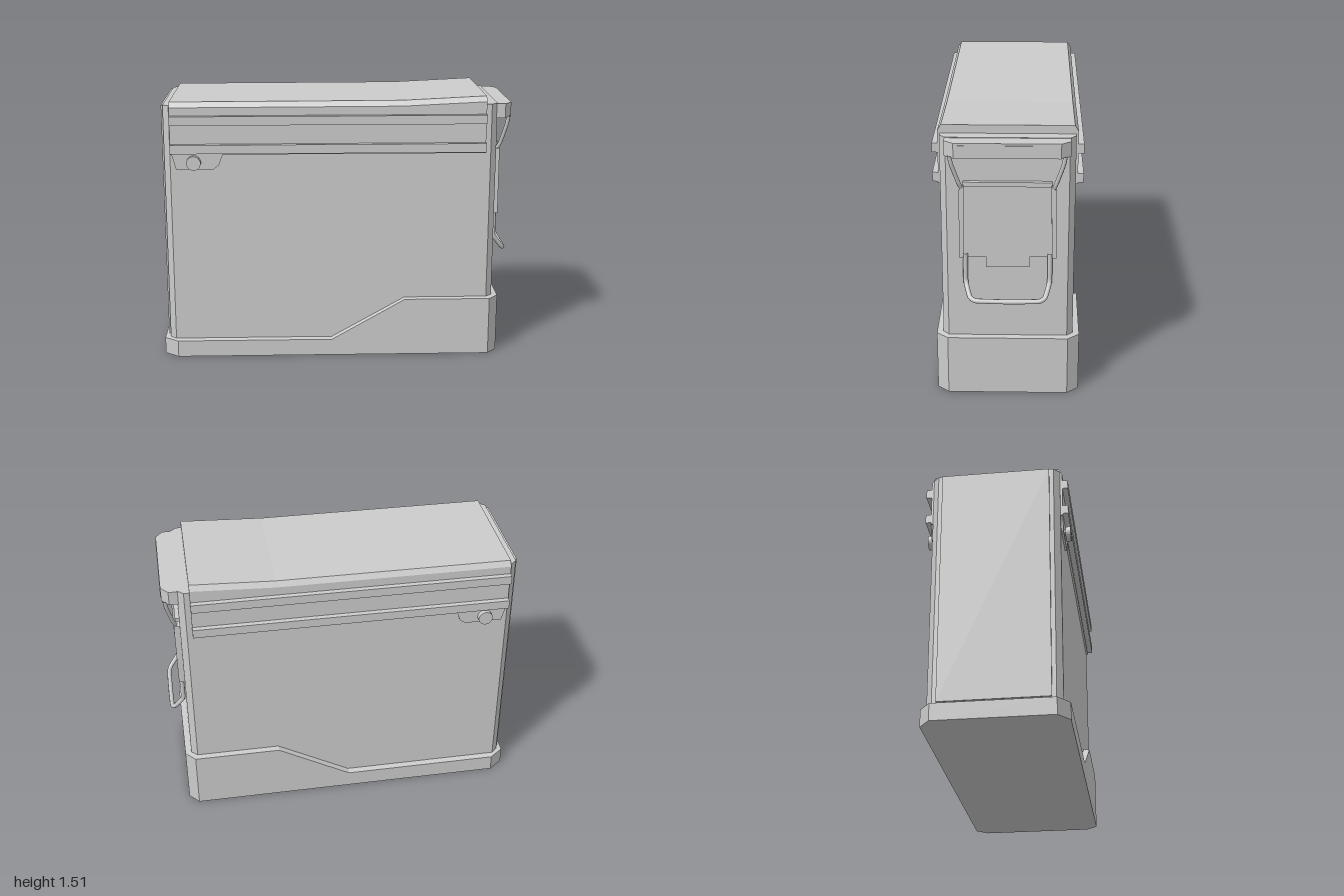
import * as THREE from 'three';

const mat = new THREE.MeshStandardMaterial({ color: 0xcccccc, side: THREE.DoubleSide });
const flat = new THREE.MeshStandardMaterial({ color: 0xcccccc, flatShading: true, side: THREE.DoubleSide });

function add(parent, name, geometry, material = flat) {
  const mesh = new THREE.Mesh(geometry, material);
  mesh.name = name;
  parent.add(mesh);
  return mesh;
}

function box(parent, name, x0, x1, y0, y1, z0, z1) {
  const mesh = add(parent, name, new THREE.BoxGeometry(x1 - x0, y1 - y0, z1 - z0));
  mesh.position.set((x0 + x1) / 2, (y0 + y1) / 2, (z0 + z1) / 2);
  return mesh;
}

// Joins closed cross-sections into a flat-faced solid, with fan caps on both ends.
function loft(rings) {
  const pos = [];
  const tri = (a, b, c) => pos.push(...a, ...b, ...c);
  const n = rings[0].length;
  for (let r = 0; r < rings.length - 1; r++) {
    for (let i = 0; i < n; i++) {
      const j = (i + 1) % n, A = rings[r], B = rings[r + 1];
      tri(A[i], A[j], B[j]);
      tri(A[i], B[j], B[i]);
    }
  }
  const first = rings[0], last = rings[rings.length - 1];
  for (let i = 1; i < n - 1; i++) {
    tri(first[0], first[i + 1], first[i]);
    tri(last[0], last[i], last[i + 1]);
  }
  const g = new THREE.BufferGeometry();
  g.setAttribute('position', new THREE.Float32BufferAttribute(pos, 3));
  g.computeVertexNormals();
  return g;
}

// Chamfered rectangle seen from above, counter-clockwise
function outline(y, back, front, w, cutBack, cutFront, cutZ) {
  return [
    [front, y, w - cutZ], [front, y, cutZ - w], [front - cutFront, y, -w], [back + cutBack, y, -w],
    [back, y, cutZ - w], [back, y, w - cutZ], [back + cutBack, y, w], [front - cutFront, y, w],
  ];
}

// Base outline with the two breaks of the stepped rim on each side
function baseRing(yLow, yHigh, ...dims) {
  const p = outline(0, ...dims), w = dims[2];
  const ring = [...p.slice(0, 3), [0.39, 0, -w], [-0.03, 0, -w], ...p.slice(3, 7), [-0.03, 0, w], [0.39, 0, w], p[7]];
  return ring.map(([x, , z]) => [x, x > 0.2 ? yHigh : yLow, z]);
}

function tube(parent, name, points, radius, tension = 0.2) {
  const curve = new THREE.CatmullRomCurve3(points.map(p => new THREE.Vector3(...p)), false, 'catmullrom', tension);
  return add(parent, name, new THREE.TubeGeometry(curve, points.length * 6, radius, 8), mat);
}

// Shape drawn in (z, y), extruded along +x from x0
function extrudeX(parent, name, zy, x0, depth) {
  const shape = new THREE.Shape(zy.map(([z, y]) => new THREE.Vector2(-z, y)));
  const mesh = add(parent, name, new THREE.ExtrudeGeometry(shape, { depth, bevelEnabled: false }));
  mesh.rotation.y = Math.PI / 2;
  mesh.position.x = x0;
  return mesh;
}

export function createModel() {
  const model = new THREE.Group();
  model.name = 'storageCan';

  // Body and end panel
  const bodyDims = [-0.968, 0.9, 0.35, 0.035, 0.035, 0.032];
  add(model, 'body', loft([outline(0.02, ...bodyDims), outline(1.465, ...bodyDims)]));
  box(model, 'backPanel', -0.98, -0.96, 0.11, 1.46, -0.295, 0.295);

  // Stepped base tray
  const baseDims = [-1, 0.935, 0.385, 0.08, 0.055, 0.062];
  add(model, 'base', loft([baseRing(0, 0, ...baseDims), baseRing(0.095, 0.335, ...baseDims), baseRing(0.1, 0.338, ...bodyDims)]));

  // Lid with its rising front end
  const lidRing = (x, top) => [[-0.362, 1.19], [-0.362, top - 0.03], [-0.343, top], [0.343, top], [0.362, top - 0.03], [0.362, 1.19]]
    .map(([z, y]) => [x, y, z]);
  add(model, 'lid', loft([lidRing(-0.93, 1.485), lidRing(0.37, 1.488), lidRing(0.835, 1.51)]));

  // Side rails, hinge tabs and rivets
  for (const s of [1, -1]) {
    const side = new THREE.Group();
    side.name = s > 0 ? 'frontSideFittings' : 'backSideFittings';
    model.add(side);
    for (const y of [1.2, 1.36]) {
      box(side, 'rail', -0.93, 0.835, y, y + 0.05, Math.min(s * 0.35, s * 0.392), Math.max(s * 0.35, s * 0.392));
    }
    const tab = new THREE.Shape([[-0.925, 1.2], [-0.9, 1.107], [-0.69, 1.107], [-0.66, 1.13], [-0.635, 1.2]]
      .map(p => new THREE.Vector2(...p)));
    const tabMesh = add(side, 'hingeTab', new THREE.ExtrudeGeometry(tab, { depth: 0.022, bevelEnabled: false }));
    tabMesh.position.z = s > 0 ? 0.34 : -0.362;
    const stem = add(side, 'rivetStem', new THREE.CylinderGeometry(0.028, 0.028, 0.04, 20));
    const head = add(side, 'rivetHead', new THREE.CylinderGeometry(0.04, 0.04, 0.028, 24));
    for (const [m, z] of [[stem, 0.36], [head, 0.381]]) {
      m.rotation.x = Math.PI / 2;
      m.position.set(-0.8, 1.147, s * z);
    }
  }

  // Latch hood over the front end
  const hood = [0.86, 0.985, 0.322, 0.01, 0.04, 0.05];
  add(model, 'latchHood', loft([outline(1.382, ...hood), outline(1.462, ...hood)]));
  box(model, 'hoodLip', 0.98, 0.988, 1.388, 1.45, -0.25, 0.25);

  // Latch plate with lower tongue and rolled edges
  const latch = new THREE.Group();
  latch.name = 'latch';
  model.add(latch);
  extrudeX(latch, 'latchPlate', [[0.23, 1.21], [0.24, 0.81], [0.115, 0.81], [0.115, 0.75],
    [-0.115, 0.75], [-0.115, 0.81], [-0.24, 0.81], [-0.23, 1.21]], 0.895, 0.02);
  box(latch, 'latchTopRoll', 0.895, 0.922, 1.205, 1.23, -0.23, 0.23);
  for (const s of [1, -1]) {
    const edge = [[0.225, 1.215], [0.25, 1.19], [0.255, 0.81], [0.232, 0.81]].map(([z, y]) => [s * z, y]);
    extrudeX(latch, 'latchEdge', edge, 0.895, 0.037);
    tube(latch, 'upperWire', [[0.968, 1.39, s * 0.293], [0.962, 1.34, s * 0.284], [0.935, 1.23, s * 0.25], [0.918, 1.19, s * 0.235]], 0.011);
  }

  // Pull loop
  const half = [[0.916, 0.83, 0.222], [0.916, 0.68, 0.222], [0.93, 0.65, 0.217], [0.97, 0.598, 0.198], [0.983, 0.583, 0.165]];
  const mirrored = half.map(([x, y, z]) => [x, y, -z]).reverse();
  tube(latch, 'pullLoop', [...half, [0.985, 0.58, 0], ...mirrored], 0.013);

  return model;
}
